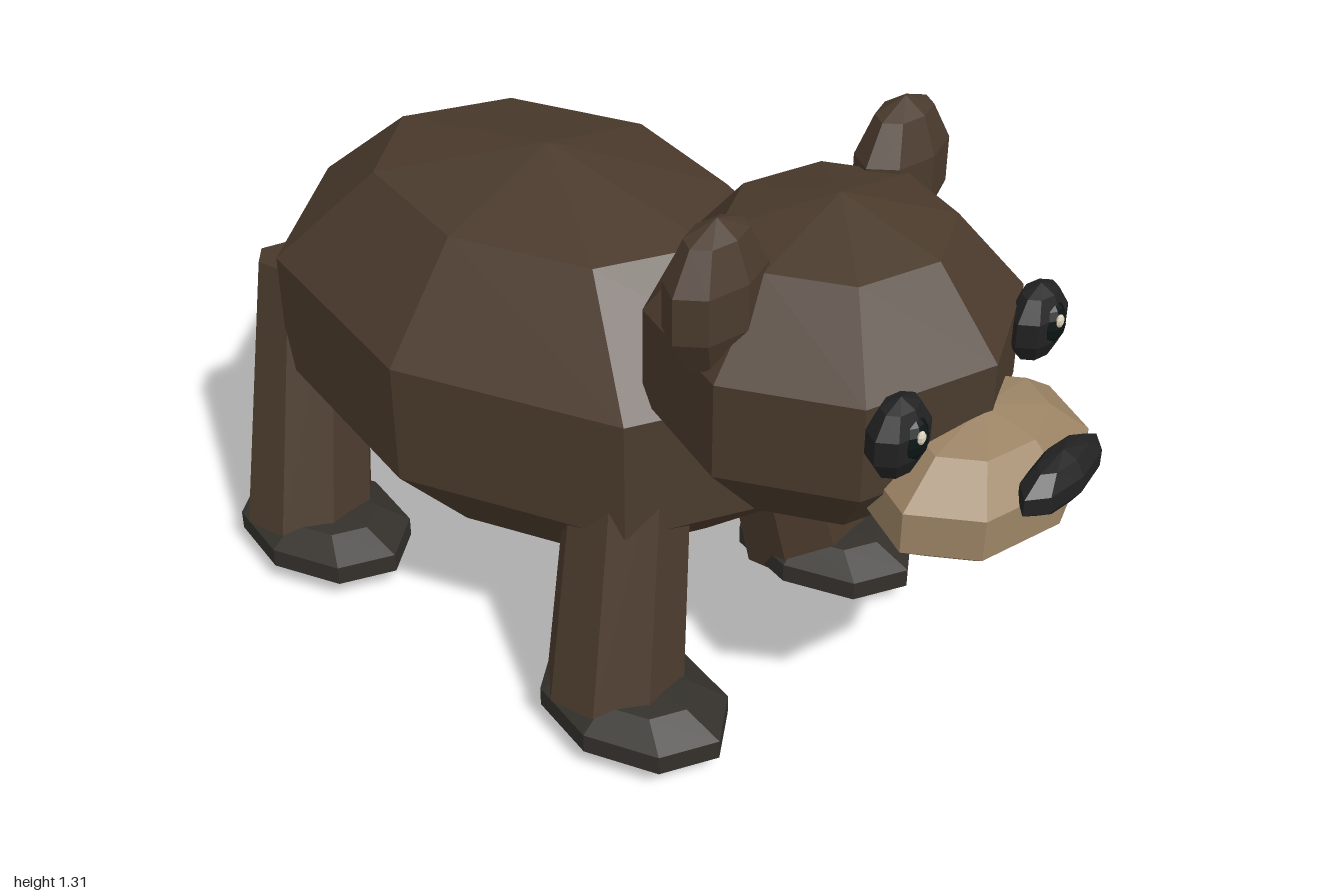
import * as THREE from 'three';

const mat = (color) => new THREE.MeshStandardMaterial({ color, flatShading: true });

export function createModel() {
  const model = new THREE.Group();
  const fur = mat(0x4a3a2c), paw = mat(0x33302b), tan = mat(0x9c8465);
  const black = mat(0x222222), pupilBlack = mat(0x0c1414), cream = mat(0xd8d0b8);

  // Faceted ellipsoid: centre, radii, sides and rings
  function blob(name, material, centre, radii, sides = 8, rings = 5) {
    const mesh = new THREE.Mesh(new THREE.SphereGeometry(1, sides, rings), material);
    mesh.name = name;
    mesh.position.set(...centre);
    mesh.scale.set(...radii);
    model.add(mesh);
  }

  // Tapered eight-sided limb between two points
  function limb(name, material, from, to, rBottom, rTop) {
    const a = new THREE.Vector3(...from), b = new THREE.Vector3(...to);
    const dir = b.clone().sub(a);
    const geo = new THREE.CylinderGeometry(rTop, rBottom, dir.length(), 8);
    geo.rotateY(Math.PI / 8);
    const mesh = new THREE.Mesh(geo, material);
    mesh.name = name;
    mesh.position.copy(a).add(b).multiplyScalar(0.5);
    mesh.quaternion.setFromUnitVectors(new THREE.Vector3(0, 1, 0), dir.normalize());
    model.add(mesh);
  }

  // Trunk, head and muzzle
  blob('body', fur, [0, 0.65, -0.3], [0.52, 0.45, 0.736]);
  blob('head', fur, [0, 0.912, 0.435], [0.4, 0.338, 0.384]);
  blob('snout', tan, [0, 0.773, 0.78], [0.273, 0.146, 0.195]);
  blob('nose', black, [0, 0.838, 0.953], [0.137, 0.059, 0.0494]);

  for (const [side, s] of [['left', 1], ['right', -1]]) {
    // Ears and eyes
    blob(side + 'Ear', fur, [s * 0.3, 1.15, 0.375], [0.132, 0.16, 0.08]);
    blob(side + 'Eye', black, [s * 0.24, 0.97, 0.745], [0.079, 0.085, 0.053]);
    blob(side + 'Pupil', pupilBlack, [s * 0.24, 0.976, 0.768], [0.04, 0.051, 0.035], 10, 8);
    blob(side + 'EyeGlint', cream, [s * 0.24 - 0.008, 0.993, 0.798], [0.011, 0.014, 0.008]);

    // Splayed legs with flat paws
    for (const [end, z] of [['Front', 0.215], ['Rear', -0.73]]) {
      limb(side + end + 'Leg', fur, [s * 0.345, 0.08, z - 0.058], [s * 0.202, 0.7, z - 0.12], 0.153, 0.127);
      blob(side + end + 'Paw', paw, [s * 0.35, 0.078, z], [0.173, 0.075, 0.242]);
    }
  }
  return model;
}
